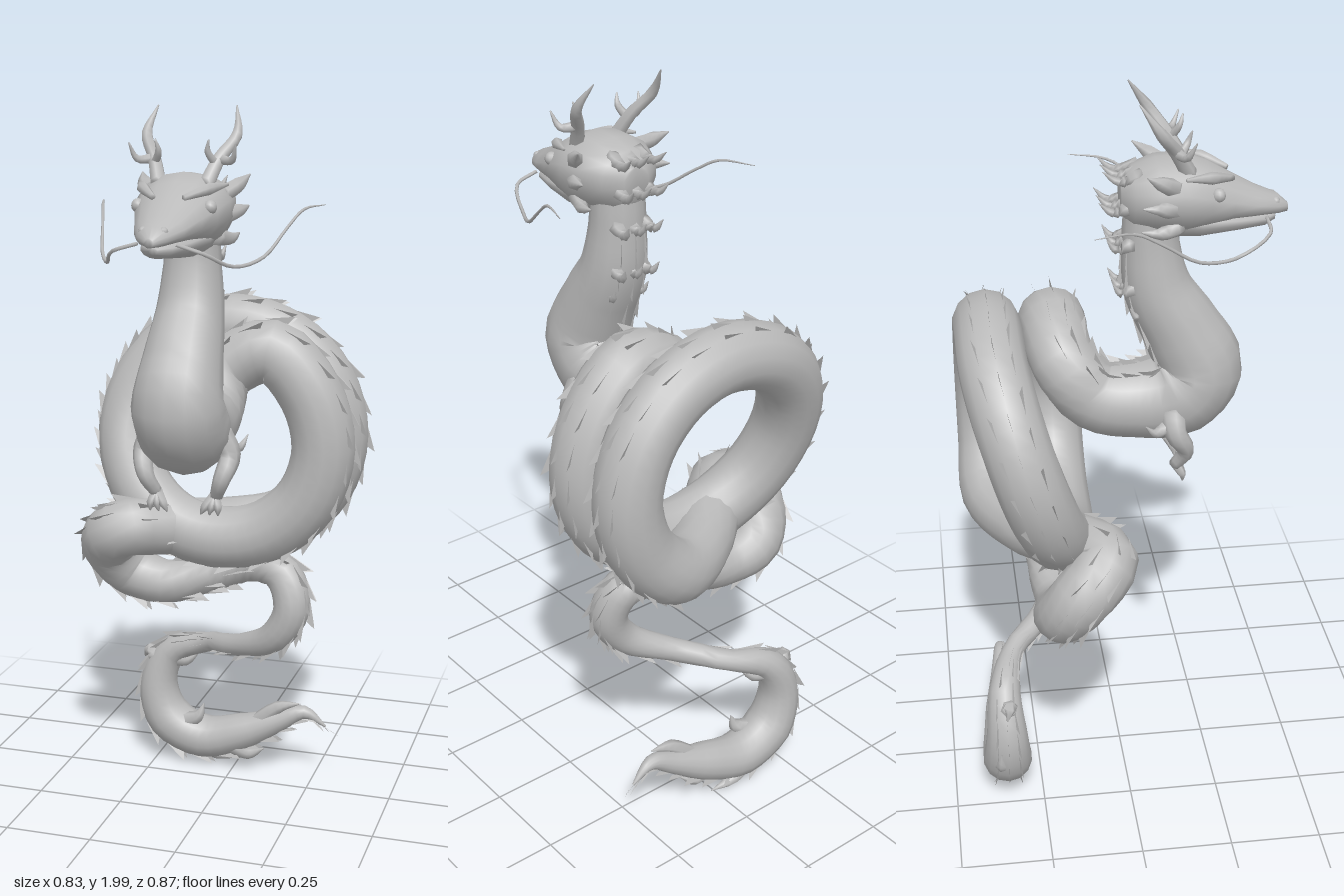
import * as THREE from 'three';
import { mergeGeometries } from 'three/addons/utils/BufferGeometryUtils.js';

const V = (x, y, z) => new THREE.Vector3(x, y, z);
const stone = new THREE.MeshStandardMaterial({ color: 0xbababa });
stone.name = 'stone grey';
const thin = new THREE.MeshStandardMaterial({ color: 0xbababa, side: THREE.DoubleSide });
thin.name = 'stone grey fins';

// Skin a list of equal-length rings, with closed ends
function loft(rings) {
  const n = rings[0].length, pos = [], idx = [];
  rings.forEach(r => r.forEach(p => pos.push(p.x, p.y, p.z)));
  for (let i = 0; i < rings.length - 1; i++) for (let j = 0; j < n; j++) {
    const a = i * n + j, b = i * n + (j + 1) % n;
    idx.push(a, b, a + n, b, b + n, a + n);
  }
  const last = (rings.length - 1) * n;
  for (let j = 1; j < n - 1; j++) idx.push(0, j + 1, j, last, last + j, last + j + 1);
  const g = new THREE.BufferGeometry();
  g.setAttribute('position', new THREE.Float32BufferAttribute(pos, 3));
  g.setIndex(idx);
  g.computeVertexNormals();
  return g;
}

// Frames along rows of [x, y, z, radius, back direction]
function frames(rows, per) {
  const curve = new THREE.CatmullRomCurve3(rows.map(r => V(r[0], r[1], r[2])));
  const out = [], m = (rows.length - 1) * per;
  for (let k = 0; k <= m; k++) {
    const i = Math.min(Math.floor(k / per), rows.length - 2), f = k / per - i;
    const mix = c => rows[i][c] * (1 - f) + rows[i + 1][c] * f;
    const t = curve.getTangent(k / m), b = V(mix(4), mix(5), mix(6));
    b.addScaledVector(t, -b.dot(t)).normalize();
    out.push({ p: curve.getPoint(k / m), t, b, s: t.clone().cross(b), r: mix(3) });
  }
  return out;
}

function tube(fr, sides) {
  return loft(fr.map(f => Array.from({ length: sides }, (_, j) => {
    const a = j / sides * Math.PI * 2;
    return f.p.clone().addScaledVector(f.b, Math.cos(a) * f.r).addScaledVector(f.s, Math.sin(a) * f.r);
  })));
}

// Tapered strand through points, for hair, antlers and limbs
function strand(pts, radii, sides = 6) {
  return tube(frames(pts.map((p, i) => [...p, radii[i], 0.21, 0.13, 1]), 4), sides);
}

const neckRows = [
  [0, 1.72, .08, .07, 0, .2, -1], [0, 1.6, .08, .076, 0, 0, -1], [0, 1.48, .1, .09, 0, .1, -1],
  [0, 1.36, .165, .106, 0, .4, -1], [0, 1.25, .21, .122, 0, .7, -.8], [0, 1.18, .155, .125, 0, 1, -.3],
  [0, 1.16, .04, .105, 0, 1, 0], [0, 1.18, -.07, .095, 0, 1, .2], [.02, 1.28, -.15, .088, -.6, .6, .4],
];
const loopRows = [
  [0, .795, -.27, .086, 0, -1, .4], [-.14, .815, -.16, .083, 0, .2, 1], [-.265, .82, -.065, .082, -.3, 1, .3],
  [-.32, .75, -.14, .084, -1, .1, 0], [-.275, .665, -.19, .078, -.7, -.7, 0], [-.17, .635, -.19, .065, 0, -1, .1],
  [-.03, .67, -.21, .055, 0, -.8, .5], [.1, .71, -.21, .055, 0, .6, .8], [.19, .69, -.18, .055, .7, .8, 0],
  [.22, .6, -.155, .053, 1, 0, 0], [.17, .51, -.16, .045, .7, -.7, 0], [.05, .45, -.22, .033, .1, -1, .3],
];
const tailRows = [
  [-.08, .41, -.32, .03, 0, .5, .8], [-.2, .36, -.35, .045, -.6, .8, 0], [-.245, .25, -.35, .058, -1, 0, 0],
  [-.21, .14, -.35, .07, -.8, -.6, 0], [-.1, .09, -.35, .066, 0, -1, 0], [.03, .125, -.345, .055, .3, -1, 0],
  [.14, .175, -.34, .035, 0, -1, 0], [.22, .21, -.34, .02, 0, -1, 0], [.285, .17, -.345, .003, -1, -.5, 0],
];
// Two-turn coil, drifting from the front layer to the back one
const coilRows = [];
for (let d = 30; d <= 510; d += 30) {
  const a = d * Math.PI / 180, rad = .302 - .02 * Math.exp(-(((d - 185) / 50) ** 2));
  const z = -.165 - .18 * THREE.MathUtils.smoothstep(d, 185, 345);
  coilRows.push([Math.sin(a) * rad, 1.075 + Math.cos(a) * rad, z, .09, Math.sin(a), Math.cos(a), 0]);
}

// Rows of small swept-back triangular fins along the back
function fins(fr, angles, height) {
  const pos = [];
  fr.forEach((f, k) => angles.forEach((ang, q) => {
    if ((k + q) % 2) return;
    const d = f.b.clone().multiplyScalar(Math.cos(ang)).addScaledVector(f.s, Math.sin(ang));
    const h = Math.min(height, f.r * .4) * (.7 + .5 * Math.abs(Math.sin(k * 2.3)));
    const root = f.p.clone().addScaledVector(d, f.r * .95);
    const a = root.clone().addScaledVector(f.t, -.035), b = root.clone().addScaledVector(f.t, .03);
    const c = root.clone().addScaledVector(d, h).addScaledVector(f.t, .045);
    for (const p of [a, b, c]) pos.push(p.x, p.y, p.z);
  }));
  const g = new THREE.BufferGeometry();
  g.setAttribute('position', new THREE.Float32BufferAttribute(pos, 3));
  g.computeVertexNormals();
  return g;
}

// Head-like form from rows of [z, centre height, half width, top, bottom]
function headLoft(rows) {
  return loft(rows.map(([z, y, w, up, down]) => Array.from({ length: 14 }, (_, j) => {
    const a = j / 14 * Math.PI * 2, c = Math.cos(a);
    return V(w * Math.sin(a), y + c * (c > 0 ? up : down), z);
  })));
}

export function createModel() {
  const model = new THREE.Group();
  const add = (name, geo, mat = stone, parent = model) => {
    const m = new THREE.Mesh(geo, mat);
    m.name = name;
    parent.add(m);
    return m;
  };

  // Serpent body with fins along the back
  const fr = frames([...neckRows, ...coilRows, ...loopRows, ...tailRows], 4);
  add('body', tube(fr, 14));
  add('backFins', fins(fr.slice(4), [0, .5, -.5], .02), thin);

  // Neck mane
  const mane = [[1.8, .03, .08], [1.72, .01, .07], [1.62, .01, .05], [1.5, .02, .045], [1.43, .06, .04]];
  add('mane', mergeGeometries(mane.flatMap(([y, z, l]) => [-.04, 0, .04].map(x =>
    strand([[x, y, z + .02], [x * 1.2, y - .01, z - l * .5], [x * 1.4, y + .02, z - l]], [.022, .012, .001], 5)))));

  // Tail tuft
  const tuft = [
    [[-.02, .09, -.33], [.05, .06, -.33], [.1, .085, -.32]],
    [[-.12, .06, -.36], [-.06, .03, -.37], [.02, .025, -.37]],
    [[-.16, .14, -.33], [-.11, .165, -.32], [-.09, .21, -.32]],
    [[-.2, .34, -.35], [-.15, .34, -.34], [-.11, .37, -.34]],
    [[-.24, .32, -.35], [-.27, .36, -.34], [-.29, .33, -.35]],
    [[.05, .14, -.34], [.14, .22, -.33], [.21, .24, -.33]],
    [[-.24, .16, -.36], [-.28, .17, -.37], [-.3, .22, -.37]],
  ];
  add('tailTuft', mergeGeometries(tuft.map(p => strand(p, [.03, .02, .001]))));

  // Head
  const head = new THREE.Group();
  head.name = 'head';
  model.add(head);
  add('skull', headLoft([
    [.432, 1.688, .012, .012, .012], [.405, 1.695, .04, .03, .02], [.35, 1.705, .066, .042, .03],
    [.28, 1.72, .09, .065, .05], [.22, 1.735, .112, .085, .08], [.16, 1.75, .127, .09, .11],
    [.09, 1.755, .122, .08, .11], [.03, 1.75, .09, .065, .09], [0, 1.74, .04, .04, .05]]), stone, head);
  add('lowerJaw', headLoft([
    [.4, 1.668, .012, .008, .012], [.37, 1.668, .042, .016, .024], [.3, 1.672, .066, .025, .034],
    [.2, 1.68, .088, .03, .052], [.12, 1.69, .085, .03, .06], [.06, 1.7, .05, .03, .04]]), stone, head);

  for (const s of [1, -1]) {
    const m = pts => pts.map(([x, y, z]) => [x * s, y, z]);
    const side = s > 0 ? 'left' : 'right';
    // Antler with two tines
    add(side + 'Antler', mergeGeometries([
      strand(m([[.06, 1.8, .17], [.085, 1.87, .13], [.12, 1.93, .085], [.105, 2, .035]]), [.022, .018, .015, .002]),
      strand(m([[.09, 1.87, .13], [.125, 1.87, .15], [.14, 1.91, .17]]), [.014, .01, .002]),
      strand(m([[.08, 1.86, .14], [.065, 1.89, .16], [.07, 1.92, .17]]), [.012, .009, .002]),
    ]), stone, head);
    // Ear and cheek tufts
    add(side + 'Cheek', mergeGeometries([
      strand(m([[.09, 1.78, .13], [.125, 1.805, .09], [.145, 1.83, .05]]), [.025, .02, .002]),
      strand(m([[.09, 1.73, .13], [.125, 1.74, .09], [.14, 1.75, .04]]), [.03, .018, .002]),
      strand(m([[.08, 1.68, .14], [.105, 1.67, .09], [.115, 1.68, .04]]), [.026, .016, .002]),
    ]), stone, head);
    // Brow, eye and nostril
    add(side + 'Brow', strand(m([[.04, 1.785, .28], [.085, 1.802, .22], [.115, 1.81, .15]]), [.008, .016, .004]), stone, head);
    const eye = add(side + 'Eye', new THREE.SphereGeometry(.018, 10, 8), stone, head);
    eye.position.set(.094 * s, 1.76, .235);
    const nostril = add(side + 'Nostril', new THREE.SphereGeometry(.012, 8, 6), stone, head);
    nostril.position.set(.026 * s, 1.713, .395);
    // Whisker
    add(side + 'Whisker', strand(m([[.05, 1.68, .37], [.115, 1.66, .365], [.165, 1.62, .27], [.215, 1.635, .17],
      [.25, 1.7, .07], [.275, 1.74, 0], [.31, 1.745, -.1]]), [.005, .005, .005, .005, .004, .004, .001], 5), stone, head);

    // Foreleg with clawed foot
    const leg = [strand(m([[.085, 1.16, .13], [.118, 1.11, .135], [.105, 1.05, .165], [.082, .995, .14]]),
      [.04, .03, .023, .017], 8)];
    for (const k of [-1, 0, 1]) leg.push(strand(
      m([[.08, 1, .14], [.075 + k * .018, .97, .158], [.07 + k * .024, .95, .16]]), [.015, .012, .002], 5));
    add(side + 'Foreleg', mergeGeometries(leg));
    // Elbow tuft
    add(side + 'ElbowTuft', strand(m([[.1, 1.13, .12], [.13, 1.12, .08], [.145, 1.15, .05]]), [.022, .013, .001]));
  }
  return model;
}
